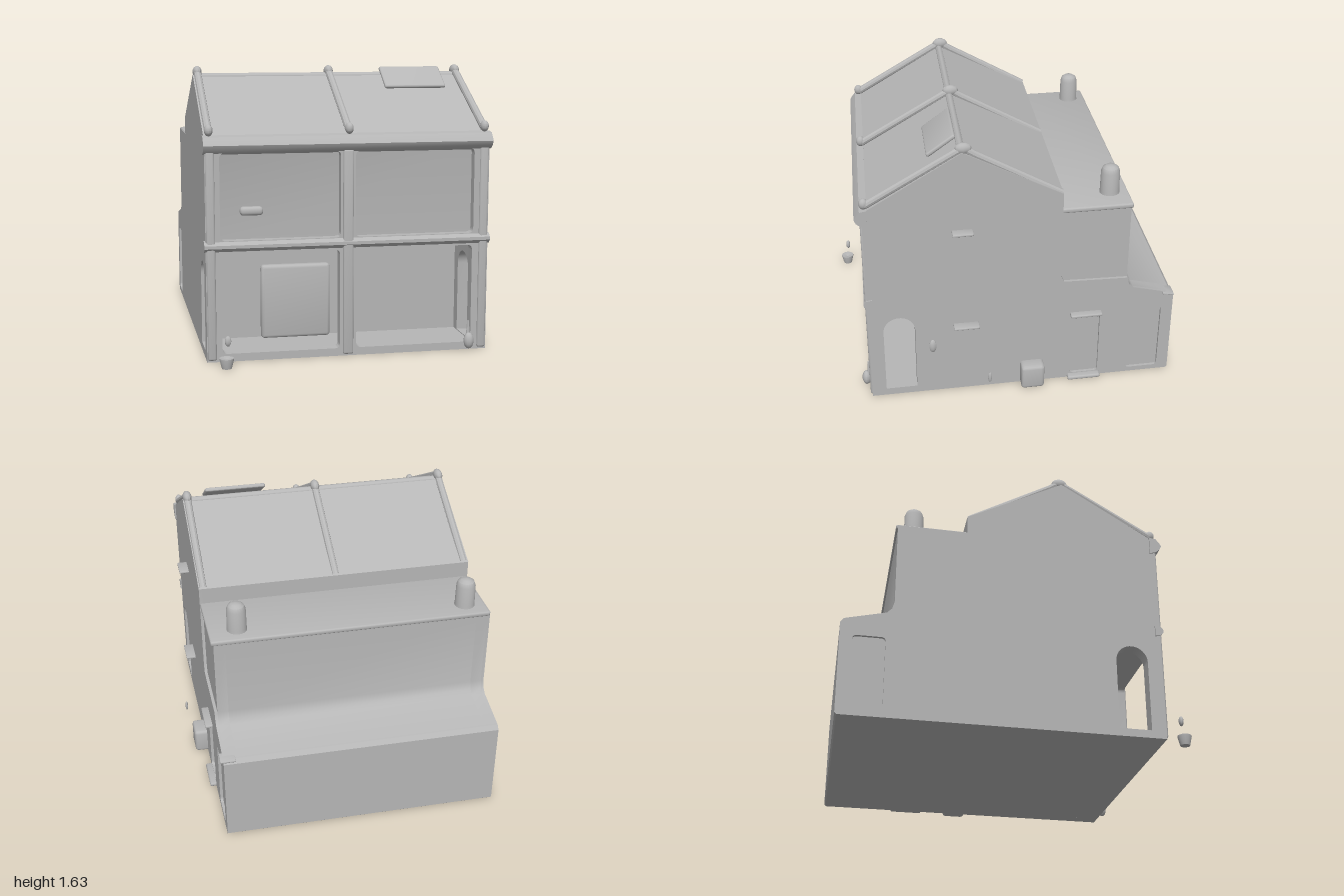
import * as THREE from 'three';
import { toCreasedNormals } from 'three/addons/utils/BufferGeometryUtils.js';
import { RoundedBoxGeometry } from 'three/addons/geometries/RoundedBoxGeometry.js';

export function createModel() {
  const house = new THREE.Group();
  house.name = 'house';
  const plaster = new THREE.MeshStandardMaterial({ color: 0xb6b6b6 });
  plaster.name = 'grey plaster';

  // The plan is slightly skewed: x drifts with z.
  const skew = new THREE.Matrix4().set(
    1, 0, 0.035, -0.033,
    0, 1, 0, 0,
    0, 0, 1, 0,
    0, 0, 0, 1);

  function add(name, geometry, x = 0, y = 0, z = 0, rx = 0) {
    geometry.rotateX(rx).translate(x, y, z);
    const g = toCreasedNormals(geometry, 0.6);
    g.applyMatrix4(skew);
    const mesh = new THREE.Mesh(g, plaster);
    mesh.name = name;
    house.add(mesh);
    return mesh;
  }
  const box = (w, h, d, r = 0.01) => new RoundedBoxGeometry(w, h, d, 2, r);

  // Rounded rectangle, used for openings.
  function roundRect(path, x0, y0, x1, y1, r) {
    path.moveTo(x0 + r, y0);
    path.lineTo(x1 - r, y0);
    path.quadraticCurveTo(x1, y0, x1, y0 + r);
    path.lineTo(x1, y1 - r);
    path.quadraticCurveTo(x1, y1, x1 - r, y1);
    path.lineTo(x0 + r, y1);
    path.quadraticCurveTo(x0, y1, x0, y1 - r);
    path.lineTo(x0, y0 + r);
    path.quadraticCurveTo(x0, y0, x0 + r, y0);
    return path;
  }

  // Extrude a side profile of [z, y] points from x0 to x1.
  function alongX(points, x0, x1, holes = []) {
    const shape = new THREE.Shape(points.map(([z, y]) => new THREE.Vector2(-z, y)));
    shape.holes.push(...holes);
    const g = new THREE.ExtrudeGeometry(shape, { depth: x1 - x0, bevelEnabled: false, curveSegments: 12 });
    return g.rotateY(Math.PI / 2).translate(x0, 0, 0);
  }
  function archHole() {
    const p = new THREE.Path();
    p.moveTo(-0.745, 0.045);
    p.lineTo(-0.56, 0.045);
    p.lineTo(-0.56, 0.455);
    p.absarc(-0.6525, 0.455, 0.0925, 0, Math.PI, false);
    p.lineTo(-0.745, 0.045);
    return p;
  }
  const panel = (z0, z1, y0, y1) => roundRect(new THREE.Path(), -z0, y0, -z1, y1, 0.025);

  // Side profile, from the eaves over the roof and down the stepped back.
  const roof = [[0.8, 1.275], [0.27, 1.585], [-0.3, 1.285]];
  const annex = [[-0.7, 0.69], [-0.712, 0.645], [-0.74, 0.617], [-0.97, 0.56], [-0.99, 0.535], [-0.99, 0.01], [-0.98, 0]];
  const back = [[-0.3, 1.18], [-0.7, 1.18], ...annex];

  // Core of the house with the porch cut out of its front
  add('core', alongX([[0.8, 0], [0.8, 0.04], [0.5, 0.04], [0.5, 0.62], [0.78, 0.62], [0.78, 1.2], ...roof, ...back], -0.73, 0.73));

  // Side walls: inner leaf plus thin outer leaf with recessed panels
  const wall = [[0.82, 0], [0.82, 1.2], ...roof, ...back];
  const rightSkin = [[0.82, 0], [0.82, 1.2], ...roof, [-0.3, 0.74], [-0.32, 0.7], ...annex];
  add('rightWall', alongX(wall, 0.73, 0.795, [archHole()]));
  add('leftWall', alongX(wall, -0.795, -0.73, [archHole()]));
  add('rightWallSkin', alongX(rightSkin, 0.795, 0.812,
    [archHole(), panel(-0.37, -0.545, 0.03, 0.46), panel(-0.72, -0.92, 0.03, 0.465)]));
  add('leftWallSkin', alongX(wall, -0.812, -0.795, [archHole(), panel(-0.74, -0.92, 0.03, 0.465)]));

  // Front frame with four openings
  const frame = new THREE.Shape([[-0.812, 0], [0.812, 0], [0.812, 1.22], [-0.812, 1.22]].map(p => new THREE.Vector2(...p)));
  for (const [x0, x1] of [[-0.725, -0.055], [0.04, 0.72]]) {
    frame.holes.push(roundRect(new THREE.Path(), x0, 0.045, x1, 0.62, 0.03));
    frame.holes.push(roundRect(new THREE.Path(), x0 - 0.005, 0.69, x1 + 0.005, 1.18, 0.03));
  }
  add('frontFrame', new THREE.ExtrudeGeometry(frame, { depth: 0.06, bevelEnabled: false }), 0, 0, 0.77);
  add('middlePost', box(0.06, 1.18, 0.03, 0.012), -0.008, 0.6, 0.83);
  for (const s of [-1, 1]) add('cornerPost', box(0.05, 1.2, 0.03, 0.012), s * 0.783, 0.61, 0.826);

  // Mouldings across the front
  add('floorBand', alongX([[0.8, 0.625], [0.83, 0.63], [0.848, 0.65], [0.848, 0.668], [0.832, 0.686], [0.8, 0.69]], -0.82, 0.82));
  add('eavesCornice', alongX([[0.8, 1.17], [0.835, 1.18], [0.86, 1.2], [0.872, 1.225], [0.86, 1.245], [0.84, 1.27], [0.8, 1.277]], -0.82, 0.82));

  // Block and shelf inside the front openings
  add('porchBlock', box(0.41, 0.44, 0.06, 0.02), -0.255, 0.26, 0.52);
  add('wallShelf', box(0.13, 0.05, 0.05, 0.02), -0.55, 0.85, 0.79);

  // Roof ridge and raised ribs with knobs at the eaves
  add('ridge', new THREE.CylinderGeometry(0.022, 0.022, 1.6, 12).rotateZ(Math.PI / 2), 0, 1.57, 0.27);
  for (const x of [-0.785, 0, 0.785]) {
    const path = new THREE.CurvePath();
    const pts = [[0.81, 1.295], [0.31, 1.577], [0.26, 1.602], [0.21, 1.567], [-0.29, 1.283]].map(([z, y]) => new THREE.Vector3(x, y, z));
    for (let i = 1; i < pts.length; i++) path.add(new THREE.LineCurve3(pts[i - 1], pts[i]));
    add('roofRib', new THREE.TubeGeometry(path, 40, 0.022, 10));
    add('ribKnob', new THREE.SphereGeometry(0.027, 12, 8).scale(0.9, 1.2, 1), x, 1.305, 0.815);
    add('ridgeKnob', new THREE.SphereGeometry(0.034, 12, 8).scale(0.8, 1, 1.4), x, 1.6, 0.262);
  }

  // Skylight on the front slope
  add('skylight', box(0.37, 0.025, 0.195, 0.012), 0.485, 1.563, 0.375, Math.atan2(0.105, 0.15));

  // Flat roof lip and chimneys
  add('flatRoofLip', box(1.62, 0.03, 0.42, 0.01), 0, 1.172, -0.5);
  const pot = [[0.06, 0], [0.057, 0.02], [0.055, 0.14], [0.046, 0.165], [0.028, 0.178], [0, 0.182]].map(p => new THREE.Vector2(...p));
  for (const x of [-0.69, 0.645]) add('chimney', new THREE.LatheGeometry(pot, 20), x, 1.18, -0.6);

  // Thin lean-to roof edge
  add('annexEave', box(0.09, 0.012, 0.07, 0.004), 0.785, 0.558, -0.955, -0.2);

  // Canopies, door hood and step on the right side
  add('upperCanopy', box(0.07, 0.014, 0.12, 0.005), 0.835, 1.1, 0.275);
  add('lowerCanopy', box(0.07, 0.014, 0.15, 0.005), 0.835, 0.467, 0.26);
  add('doorHood', box(0.06, 0.018, 0.19, 0.007), 0.825, 0.468, -0.457);
  add('doorStep', box(0.06, 0.025, 0.2, 0.01), 0.82, 0.0125, -0.457);
  add('sideBlock', box(0.1, 0.155, 0.14, 0.02), 0.84, 0.0785, -0.135);
  add('sideLamp', new THREE.SphereGeometry(0.022, 10, 8).scale(0.7, 2, 1), 0.815, 0.33, 0.46);

  // Flower pots by the front corners
  const bowl = [[0, 0], [0.028, 0], [0.04, 0.05], [0.04, 0.058], [0.03, 0.058], [0, 0.045]].map(p => new THREE.Vector2(...p));
  add('frontPot', new THREE.LatheGeometry(bowl, 14), -0.72, 0.005, 0.965);
  add('frontBud', new THREE.SphereGeometry(0.02, 10, 8).scale(0.9, 1.5, 0.7), -0.71, 0.155, 0.955);
  add('cornerPlant', new THREE.SphereGeometry(0.03, 12, 8).scale(1, 1.6, 0.9), 0.7, 0.06, 0.86);
  add('cornerStem', new THREE.CylinderGeometry(0.006, 0.012, 0.09, 8), 0.7, 0.13, 0.845);
  add('sideBud', new THREE.SphereGeometry(0.012, 8, 6).scale(0.7, 3, 1), 0.9, 0.125, 0.13);
  return house;
}
